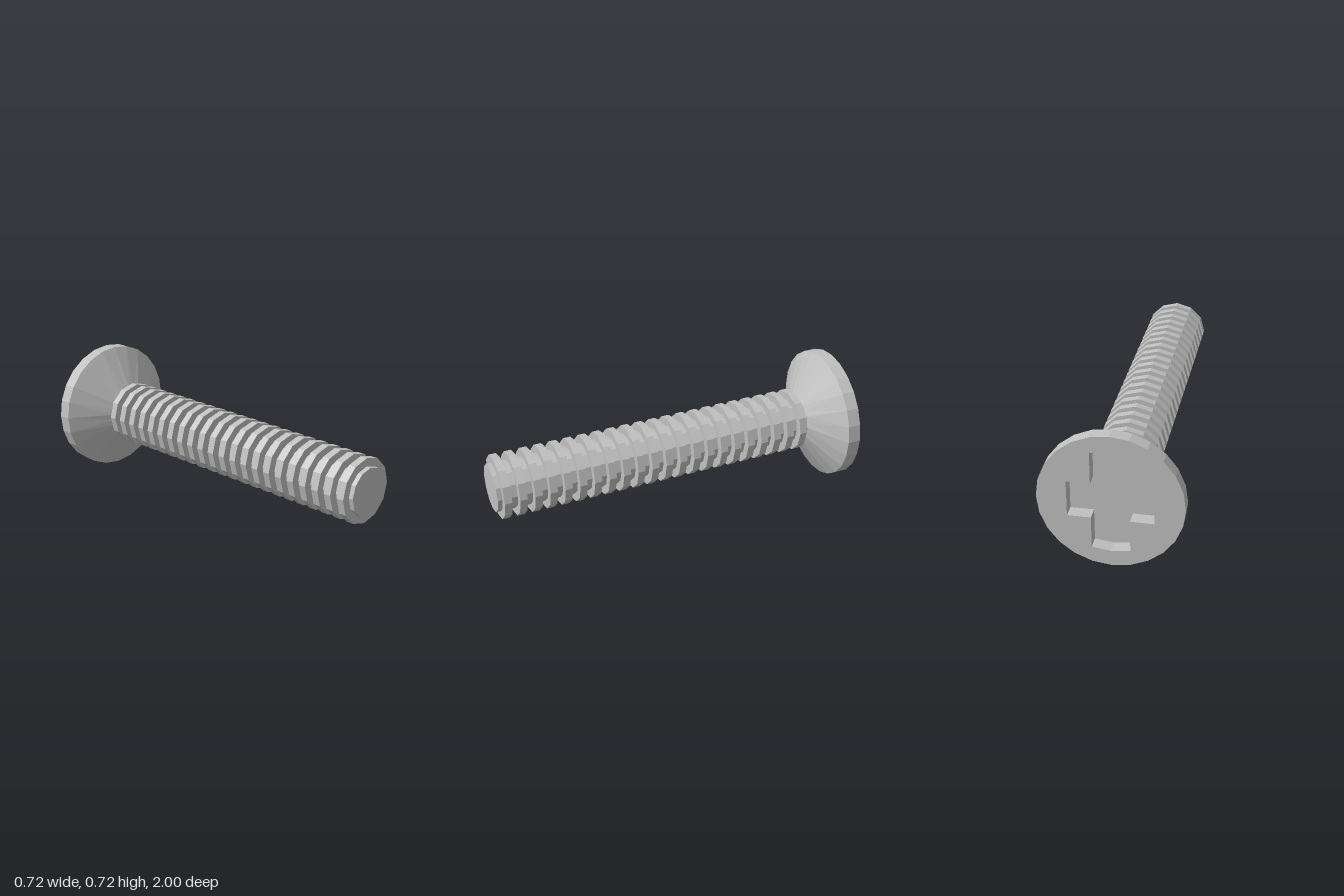
import * as THREE from 'three';

const HEAD_R = 0.361, CORE_R = 0.129, THREAD_R = 0.172;

export function createModel() {
  const model = new THREE.Group();
  model.name = 'screw';
  const steel = new THREE.MeshStandardMaterial({ color: 0xc0c0c0, flatShading: true });
  steel.name = 'steel grey';

  const add = (name, geometry) => {
    const mesh = new THREE.Mesh(geometry, steel);
    mesh.name = name;
    mesh.position.y = HEAD_R;
    model.add(mesh);
    return mesh;
  };
  // cylinder along z, from zBack to zFront
  const rod = (rFront, rBack, zBack, zFront, sides) =>
    new THREE.CylinderGeometry(rFront, rBack, zFront - zBack, sides)
      .rotateX(Math.PI / 2)
      .translate(0, 0, (zBack + zFront) / 2);

  // twelve-sided shank with evenly spaced thread rings
  add('shank', rod(CORE_R, CORE_R, -0.81, 1, 12));
  for (let i = 0; i < 22; i++) {
    const z = 0.955 - i * 0.0813;
    add('threadRing' + (i + 1), rod(THREAD_R, THREAD_R, z - 0.02, z + 0.02, 12));
  }

  // countersunk cone; its narrow end is flattened onto the twelve-sided shank
  const cone = rod(CORE_R, HEAD_R, -0.93, -0.8, 24);
  const p = cone.attributes.position;
  for (let i = 0; i < p.count; i++) {
    const step = Math.round(Math.atan2(p.getY(i), p.getX(i)) / (Math.PI / 12));
    if (p.getZ(i) > -0.85 && step % 2 !== 0) {
      const k = Math.cos(Math.PI / 12);
      p.setXY(i, p.getX(i) * k, p.getY(i) * k);
    }
  }
  add('headCone', cone);

  // head rim with a cross recess; the back of the cone is the recess floor
  const rim = new THREE.Shape();
  for (let i = 0; i < 24; i++) {
    const a = (i * Math.PI) / 12;
    const x = HEAD_R * Math.cos(a), y = HEAD_R * Math.sin(a);
    if (i === 0) rim.moveTo(x, y);
    else rim.lineTo(x, y);
  }
  rim.closePath();
  const w = 0.095, armX = 0.212, armY = 0.265, tip = 0.277;
  const cross = [
    [w, -w], [armX, -w], [armX, w], [w, w],
    [w, armY], [0, tip], [-w, armY],
    [-w, w], [-armX, w], [-armX, -w], [-w, -w],
    [-w, -armY], [0, -tip], [w, -armY],
  ].map(([x, y]) => new THREE.Vector2(x, y));
  rim.holes.push(new THREE.Path(cross.reverse()));
  const head = new THREE.ExtrudeGeometry(rim, { depth: 0.07, bevelEnabled: false });
  add('headRim', head.translate(0, 0, -1));

  return model;
}
